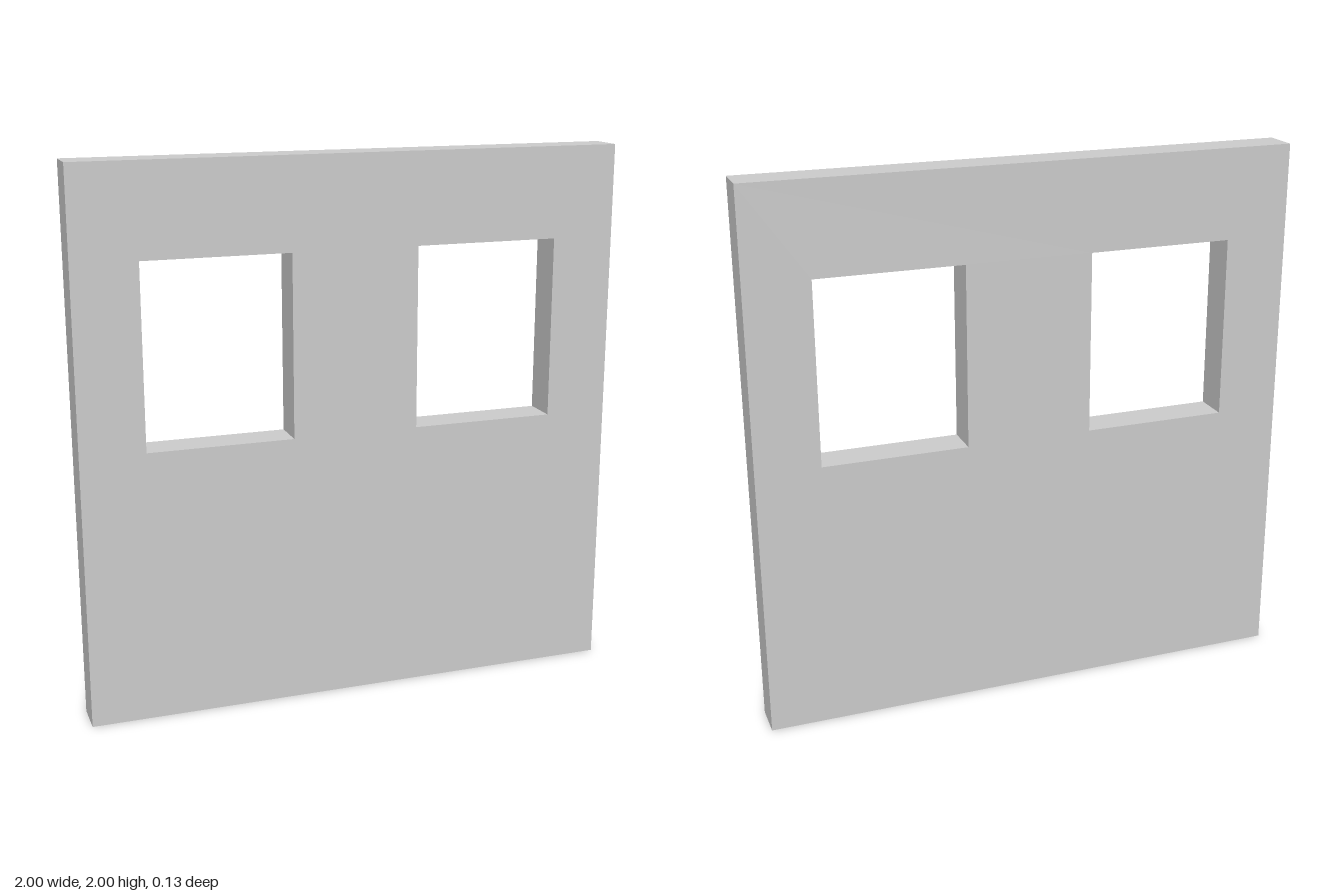
import * as THREE from 'three';

const SIZE = 2, DEPTH = 0.1333;
const WINDOW = { width: 0.5333, height: 0.6667, sill: 1, offset: 0.5 };

// Trace a rectangle centred on x, standing on y
function traceRect(path, x, y, w, h) {
  path.moveTo(x - w / 2, y);
  path.lineTo(x + w / 2, y);
  path.lineTo(x + w / 2, y + h);
  path.lineTo(x - w / 2, y + h);
  path.closePath();
  return path;
}

export function createModel() {
  const group = new THREE.Group();
  group.name = 'windowWall';

  // Wall outline with a mirrored pair of window openings
  const outline = traceRect(new THREE.Shape(), 0, 0, SIZE, SIZE);
  for (const side of [-1, 1]) {
    outline.holes.push(traceRect(new THREE.Path(), side * WINDOW.offset, WINDOW.sill, WINDOW.width, WINDOW.height));
  }

  // Solid wall panel, centred on z
  const geometry = new THREE.ExtrudeGeometry(outline, { depth: DEPTH, bevelEnabled: false });
  geometry.translate(0, 0, -DEPTH / 2);
  const wall = new THREE.Mesh(geometry, new THREE.MeshStandardMaterial({ color: 0xcccccc, flatShading: true }));
  wall.name = 'wall';
  group.add(wall);

  return group;
}
